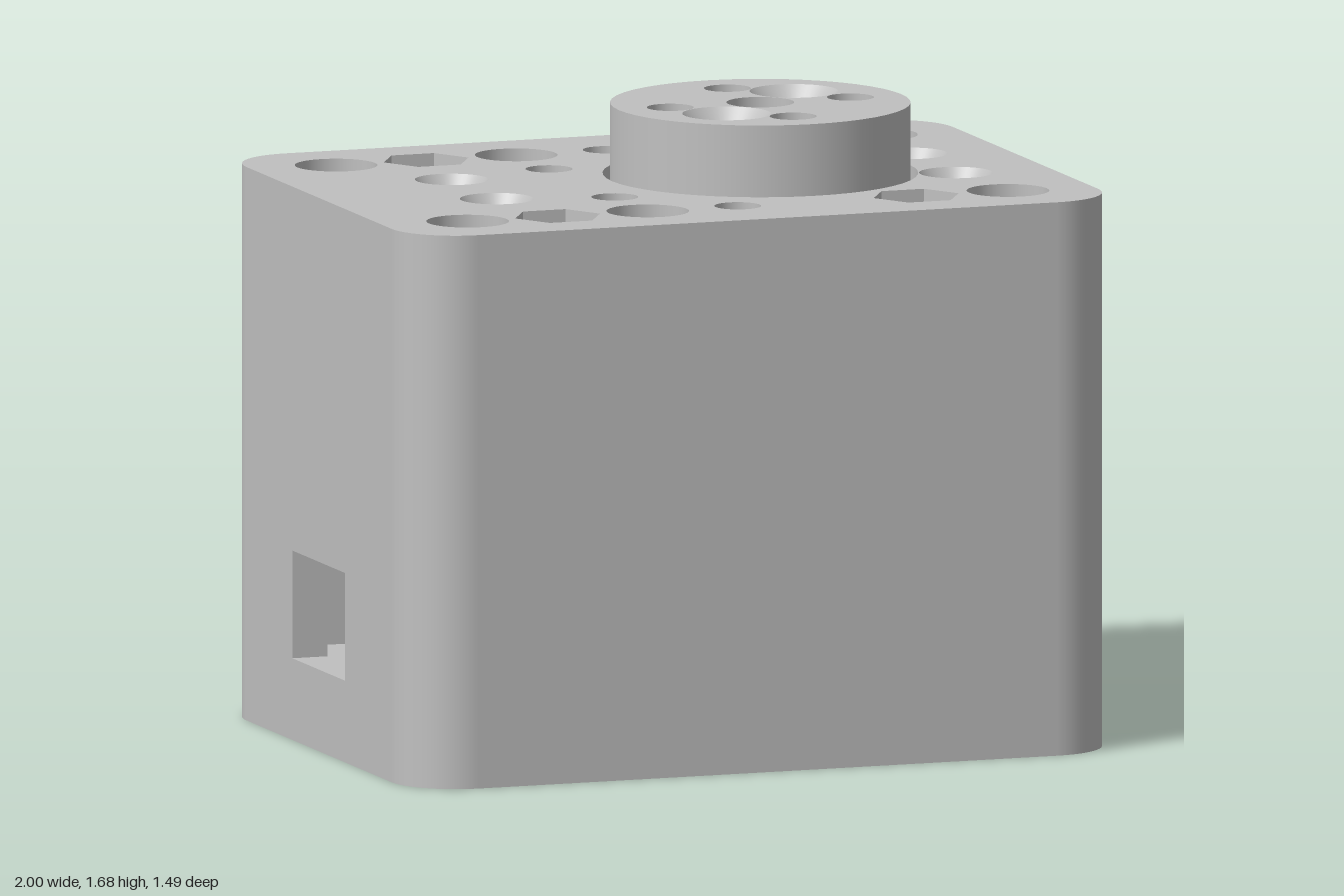
import * as THREE from 'three';
import { mergeGeometries } from 'three/addons/utils/BufferGeometryUtils.js';

const TOP = 1.49, HUB_TOP = 1.68, HUB_X = 0.25, SEG = 48;

export function createModel() {
  const model = new THREE.Group();
  const grey = new THREE.MeshStandardMaterial({ color: 0xc0c0c0 });

  function add(name, geometry, x = 0, y = 0, z = 0, parent = model) {
    const mesh = new THREE.Mesh(geometry, grey);
    mesh.name = name;
    mesh.position.set(x, y, z);
    parent.add(mesh);
    return mesh;
  }

  // Points of a regular polygon in plan
  const ring = (x, z, r, n = SEG) => Array.from({ length: n }, (_, i) => {
    const a = (i / n) * Math.PI * 2;
    return new THREE.Vector2(x + r * Math.cos(a), z + r * Math.sin(a));
  });

  // Flat plate in plan with cut-outs, facing up or down
  function plate(outline, holes, up = true) {
    const flip = (pts) => pts.map((p) => new THREE.Vector2(p.x, up ? -p.y : p.y));
    const shape = new THREE.Shape(flip(outline));
    holes.forEach((h) => shape.holes.push(new THREE.Path(flip(h))));
    return new THREE.ShapeGeometry(shape).rotateX(up ? -Math.PI / 2 : Math.PI / 2);
  }

  // Crisp turned surface: a downward profile faces the axis, an upward one faces out
  function turned(profile, n = SEG) {
    const parts = profile.slice(1).map((p, i) => new THREE.LatheGeometry(
      [new THREE.Vector2(...profile[i]), new THREE.Vector2(...p)], n, Math.PI / 2));
    return mergeGeometries(parts);
  }

  // Rounded outline with outward normals, starting and ending at the side window
  const R = 0.18, W = 1, D = 0.745;
  const win = { z: 0.205, y0: 0.22, y1: 0.51 };
  const rim = [{ x: -W, z: -win.z, nx: -1, nz: 0 }];
  [[-1, -1], [1, -1], [1, 1], [-1, 1]].forEach(([sx, sz], c) => {
    for (let i = 0; i <= 12; i++) {
      const a = Math.PI + (c + i / 12) * Math.PI / 2;
      const nx = Math.cos(a), nz = Math.sin(a);
      rim.push({ x: sx * (W - R) + R * nx, z: sz * (D - R) + R * nz, nx, nz });
    }
  });
  rim.push({ x: -W, z: win.z, nx: -1, nz: 0 });
  const outline = rim.map((p) => new THREE.Vector2(p.x, p.z));

  function wall(y0, y1, closed) {
    const pts = closed ? [...rim, rim[0]] : rim;
    const pos = [], nor = [], idx = [];
    pts.forEach((p, i) => {
      pos.push(p.x, y0, p.z, p.x, y1, p.z);
      nor.push(p.nx, 0, p.nz, p.nx, 0, p.nz);
      const a = i * 2;
      if (i < pts.length - 1) idx.push(a, a + 1, a + 2, a + 1, a + 3, a + 2);
    });
    const g = new THREE.BufferGeometry();
    g.setAttribute('position', new THREE.Float32BufferAttribute(pos, 3));
    g.setAttribute('normal', new THREE.Float32BufferAttribute(nor, 3));
    g.setIndex(idx);
    return g;
  }

  // Housing walls, leaving the window open
  add('lowerWall', wall(0, win.y0, true));
  add('middleWall', wall(win.y0, win.y1, false));
  add('upperWall', wall(win.y1, TOP, true));

  // Box seen from inside, optionally without its +x end
  function cavity(x0, x1, y0, y1, z, open) {
    const g = new THREE.BoxGeometry(x1 - x0, y1 - y0, z * 2);
    g.translate((x0 + x1) / 2, (y0 + y1) / 2, 0);
    const idx = Array.from(g.index.array).slice(open ? 6 : 0).reverse();
    g.setIndex(idx);
    g.clearGroups();
    g.attributes.normal.array.forEach((v, i, arr) => { arr[i] = -v; });
    return g;
  }
  add('windowReveal', cavity(-1, -0.9, win.y0, win.y1, win.z, true));
  add('innerChamber', cavity(-0.9, -0.69, win.y0, 0.75, 0.39, false));

  // Holes through the housing and pockets in its top
  const topHoles = [ring(HUB_X, 0, 0.42)], bottomHoles = [];
  const SMALL = 0.0625, HEX = 0.12, HEX_Y = TOP - 0.14;

  for (const s of [-1, 1]) {
    const z = s * 0.51;
    for (const [x, r] of [[-0.765, 0.11], [-0.255, 0.11], [0.765, 0.11], [0, SMALL]]) {
      topHoles.push(ring(x, z, r));
      bottomHoles.push(ring(x, z, r));
      add('throughHole', turned([[r, TOP], [r, 0]]), x, 0, z);
    }

    // Hexagonal nut pockets with stepped floors and a bore to the underside
    for (const x of [-0.51, 0.505]) {
      const nut = new THREE.Group();
      nut.name = 'nutPocket';
      nut.position.set(x, 0, z);
      model.add(nut);
      topHoles.push(ring(x, z, HEX, 6));
      bottomHoles.push(ring(x, z, 0.1));
      const sides = turned([[HEX, TOP], [HEX, HEX_Y]], 6).toNonIndexed();
      sides.computeVertexNormals();
      add('nutSides', sides, 0, 0, 0, nut);
      add('nutFloor', plate(ring(0, 0, HEX, 6), [ring(0, 0, SMALL)]), 0, HEX_Y, 0, nut);
      add('boltBore', turned([[SMALL, HEX_Y], [SMALL, 0.3], [0.1, 0.3], [0.1, 0]]), 0, 0, 0, nut);
      for (const e of [-1, 1]) {
        const tri = new THREE.Shape([[0.0625, -0.1], [0.119, 0], [0.0625, 0.1]]
          .map((p) => new THREE.Vector2(...p)));
        const flank = new THREE.ExtrudeGeometry(tri, { depth: 0.02, bevelEnabled: false });
        flank.rotateX(-Math.PI / 2);
        add('nutFloorFlank', flank, 0, HEX_Y, 0, nut).rotation.y = e > 0 ? 0 : Math.PI;
        add('nutFloorEnd', new THREE.BoxGeometry(0.125, 0.01, 0.036), 0, HEX_Y + 0.005, e * 0.083, nut);
      }
    }

    // Countersunk screw holes and plain blind holes
    for (const x of [-0.56, 0.74]) {
      const r = 0.098;
      topHoles.push(ring(x, s * 0.175, r));
      add('screwHole', turned([[r, TOP], [SMALL, TOP - 0.06], [SMALL, 1], [0, 1]]), x, 0, s * 0.175);
    }
    topHoles.push(ring(-0.255, s * 0.255, SMALL));
    add('blindHole', turned([[SMALL, TOP], [SMALL, 1.2], [0, 1.2]]), -0.255, 0, s * 0.255);
  }
  add('topFace', plate(outline, topHoles), 0, TOP, 0);
  add('bottomFace', plate(outline, bottomHoles, false));

  // Hub standing in its recess
  const hub = new THREE.Group();
  hub.name = 'hub';
  hub.position.x = HUB_X;
  model.add(hub);
  add('hubRecess', turned([[0.42, TOP], [0.42, 1.34], [0.4, 1.34]]), 0, 0, 0, hub);
  add('hubWall', turned([[0.4, 1.34], [0.4, HUB_TOP]]), 0, 0, 0, hub);

  const hubHoles = [ring(0, 0, 0.09)];
  add('shaftHole', turned([[0.09, HUB_TOP], [0.09, 1.53], [0.04, 1.53], [0.04, 1.3], [0, 1.3]]), 0, 0, 0, hub);
  for (const [x, z] of [[-0.255, 0], [0.255, 0], [0, -0.255], [0, 0.255]]) {
    hubHoles.push(ring(x, z, SMALL));
    add('hubHole', turned([[SMALL, HUB_TOP], [SMALL, 1.4], [0, 1.4]]), x, 0, z, hub);
  }
  for (const s of [-1, 1]) {
    const x = s * 0.15, z = -s * 0.15, r = 0.118;
    hubHoles.push(ring(x, z, r));
    add('hubScrewHole', turned([[r, HUB_TOP], [SMALL, HUB_TOP - 0.07], [SMALL, 1.35], [0, 1.35]]), x, 0, z, hub);
  }
  add('hubFace', plate(ring(0, 0, 0.4), hubHoles), 0, HUB_TOP, 0, hub);

  return model;
}
